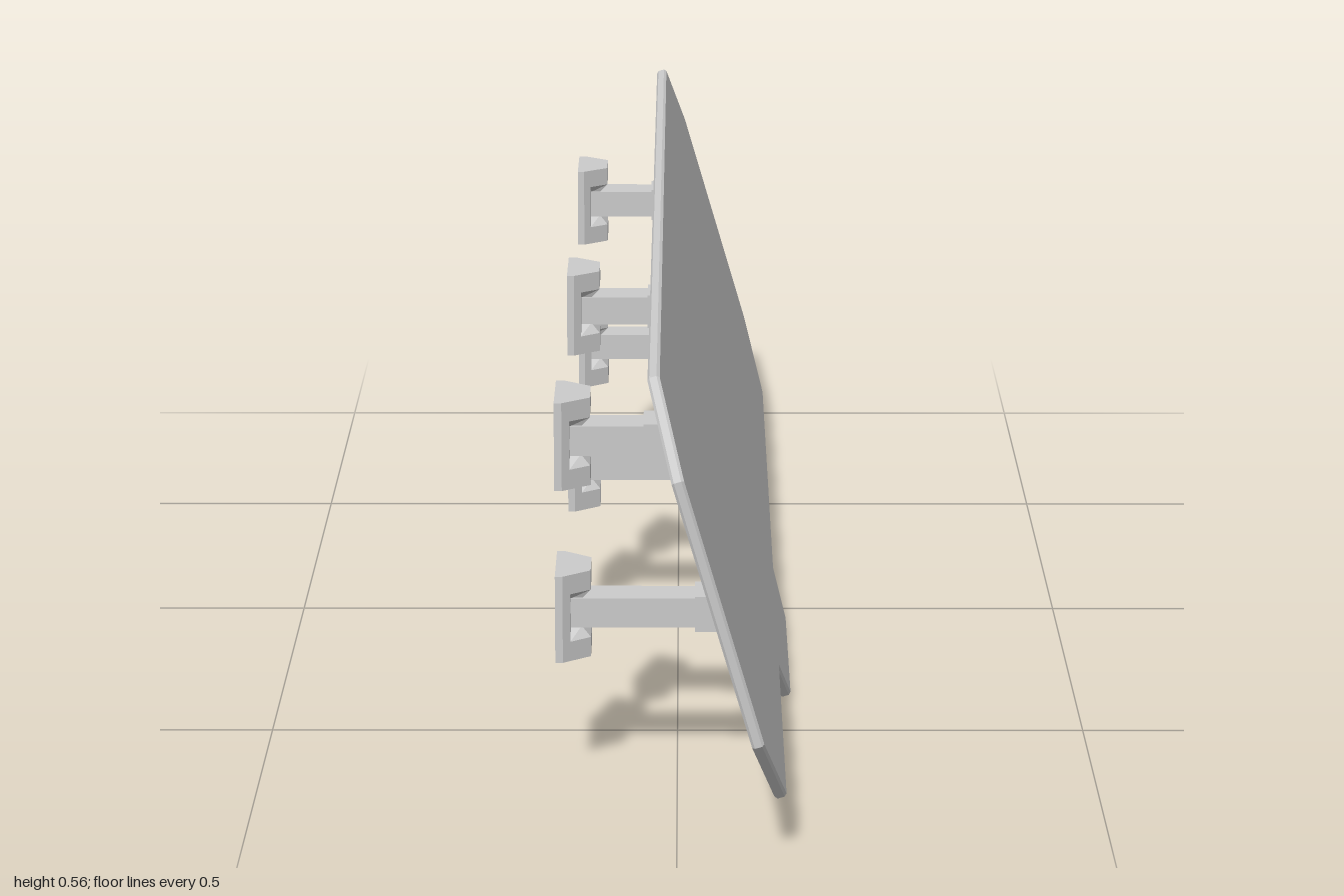
import * as THREE from 'three';

const material = new THREE.MeshStandardMaterial({ color: 0xcccccc, flatShading: true });

// Prism from an x-y profile, centred on z; halfZ(x, y) sets its half width at each corner
function prism(name, points, halfZ) {
  const shape = new THREE.Shape(points.map(([x, y]) => new THREE.Vector2(x, y)));
  const geo = new THREE.ExtrudeGeometry(shape, { depth: 2, bevelEnabled: false });
  geo.translate(0, 0, -1);
  const p = geo.attributes.position;
  for (let i = 0; i < p.count; i++) p.setZ(i, p.getZ(i) * halfZ(p.getX(i), p.getY(i)));
  geo.computeVertexNormals();
  const mesh = new THREE.Mesh(geo, material);
  mesh.name = name;
  return mesh;
}

const rect = (x0, x1, h) => [[x0, -h], [x1, -h], [x1, h], [x0, h]];

// Leaning board: runs from (footX, footY) upward, tilted back towards -x
const TILT = Math.atan(0.294), FOOT_X = 0.136, FOOT_Y = 0.0055, THICK = 0.0145;
const boardBackX = (y) => FOOT_X - (y - FOOT_Y) * Math.tan(TILT) - THICK / 2 / Math.cos(TILT);

function makeBoard() {
  const outline = [
    [0.9, 0.56], [1, 0.465], [1, 0.155], [0.9, 0.06], [0.425, 0.06], [0.37, 0.0055],
    [0.06, 0.0055], [0.01, 0.06], [-0.9, 0.06], [-1, 0.155], [-1, 0.465], [-0.9, 0.56],
  ];
  const c = Math.cos(TILT), s = Math.sin(TILT), bevel = 0.003;
  const shape = new THREE.Shape(outline.map(([z, y]) => new THREE.Vector2(-z, (y - FOOT_Y) / c)));
  const geo = new THREE.ExtrudeGeometry(shape, {
    depth: THICK - 2 * bevel, bevelThickness: bevel, bevelSize: bevel, bevelOffset: -bevel, bevelSegments: 1,
  });
  geo.translate(0, 0, -THICK / 2 + bevel);
  const basis = new THREE.Matrix4().makeBasis(
    new THREE.Vector3(0, 0, -1), new THREE.Vector3(-s, c, 0), new THREE.Vector3(c, s, 0));
  geo.applyMatrix4(basis.setPosition(FOOT_X, FOOT_Y, 0));
  const mesh = new THREE.Mesh(geo, material);
  mesh.name = 'board';
  return mesh;
}

// Bracket at height y: clip head, square arm and a socket cut to the board's slope
function makeBracket(y, socketX) {
  const g = new THREE.Group();
  g.name = 'bracket';
  const H = 0.0535, GAP = 0.0295;
  const taper = (x) => THREE.MathUtils.mapLinear(x, -0.136, -0.103, 0.053, 0.027);

  g.add(prism('clipPlate', rect(-0.145, -0.136, H), () => 0.053));
  g.add(prism('clipJaws', [
    [-0.136, -H], [-0.103, -H], [-0.103, -GAP], [-0.127, -GAP],
    [-0.127, GAP], [-0.103, GAP], [-0.103, H], [-0.136, H],
  ], taper));
  // Sloping lips from each jaw in to the arm
  for (const side of [1, -1]) {
    g.add(prism('clipLip', [
      [-0.127, side * GAP], [-0.103, side * GAP], [-0.114, side * 0.017], [-0.127, side * 0.017],
    ], (x, py) => (Math.abs(py) > 0.02 ? taper(x) : 0.022)));
  }
  g.add(prism('arm', rect(-0.13, socketX + 0.005, 0.018), () => 0.026));
  const S = 0.022, sink = 0.004;
  g.add(prism('socket', [
    [socketX, -S], [boardBackX(y - S) + sink, -S], [boardBackX(y + S) + sink, S], [socketX, S],
  ], () => 0.031));
  g.position.y = y;
  return g;
}

export function createModel() {
  const model = new THREE.Group();
  model.name = 'wallPanel';
  model.add(makeBoard());
  // Two rows of three brackets
  for (const z of [-0.65, -0.01, 0.63]) {
    for (const [y, socketX] of [[0.4175, -0.04], [0.205, 0.021]]) {
      const bracket = makeBracket(y, socketX);
      bracket.position.z = z;
      model.add(bracket);
    }
  }
  return model;
}
